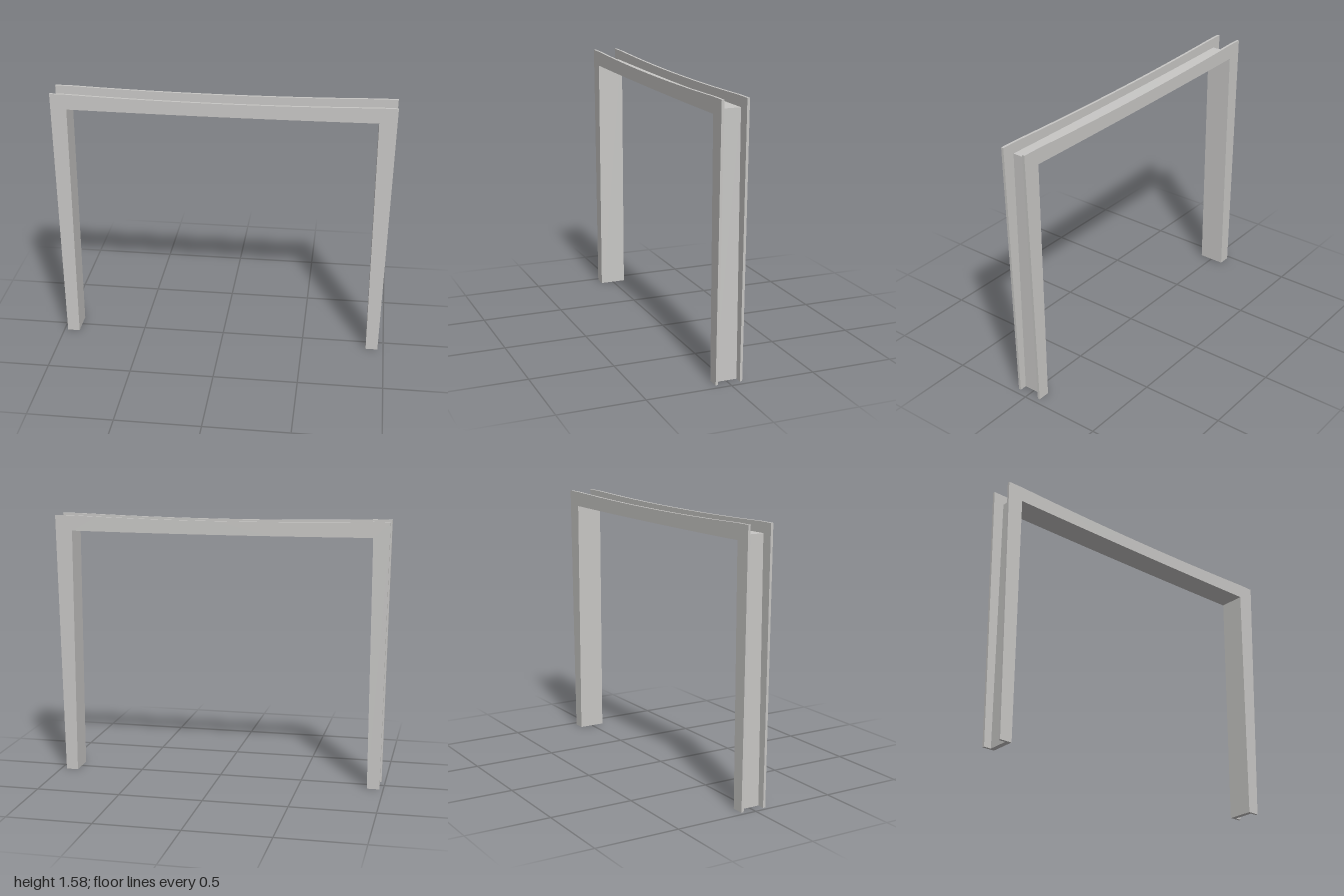
import * as THREE from 'three';

const LEFT = 0.893, RIGHT = -0.904; // inner faces of the legs
const SOFFIT = 1.489, TOP = 1.58, WEB = 0.03;
const HALF_DEPTH = 0.08, PLATE = 0.015;

// Shallow sag of the beam, zero at the legs and deepest at midspan
function sagPoints(y, depth, from, to, steps = 12) {
  const points = [];
  for (let i = 0; i <= steps; i++) {
    const t = i / steps;
    points.push(new THREE.Vector2(from + (to - from) * t, y - depth * 4 * t * (1 - t)));
  }
  return points;
}

// Portal outline: outer edge up and over, then back along the inner edge
function portalShape(footRight, headRight, footLeft, headLeft, top, topPoints) {
  return new THREE.Shape([
    new THREE.Vector2(footRight, 0),
    new THREE.Vector2(headRight, top),
    ...topPoints,
    new THREE.Vector2(headLeft, top),
    new THREE.Vector2(footLeft, 0),
    new THREE.Vector2(LEFT, 0),
    ...sagPoints(SOFFIT, 0.005, LEFT, RIGHT),
    new THREE.Vector2(RIGHT, 0),
  ]);
}

function extrude(shape, z, depth, name, material) {
  const geometry = new THREE.ExtrudeGeometry(shape, { depth, bevelEnabled: false });
  const mesh = new THREE.Mesh(geometry, material);
  mesh.position.z = z;
  mesh.name = name;
  return mesh;
}

export function createModel() {
  const group = new THREE.Group();
  group.name = 'portalFrame';
  const steel = new THREE.MeshStandardMaterial({ color: 0xc8c7c5 });
  steel.name = 'light grey steel';

  // Tapered side plates on the front and back
  const plate = portalShape(-0.978, -1, 0.965, 0.997, TOP,
    sagPoints(TOP, 0.016, RIGHT, LEFT));
  extrudePair(group, plate, steel);

  // Thin lining web joining the two plates along their inner edge
  const webTop = SOFFIT + WEB;
  const web = portalShape(RIGHT - WEB, RIGHT - WEB, LEFT + WEB, LEFT + WEB, webTop,
    sagPoints(webTop, 0.005, RIGHT, LEFT));
  const inner = HALF_DEPTH - PLATE;
  group.add(extrude(web, -inner, 2 * inner, 'innerWeb', steel));
  return group;
}

function extrudePair(group, shape, material) {
  group.add(extrude(shape, HALF_DEPTH - PLATE, PLATE, 'frontPlate', material));
  group.add(extrude(shape, -HALF_DEPTH, PLATE, 'backPlate', material));
}
